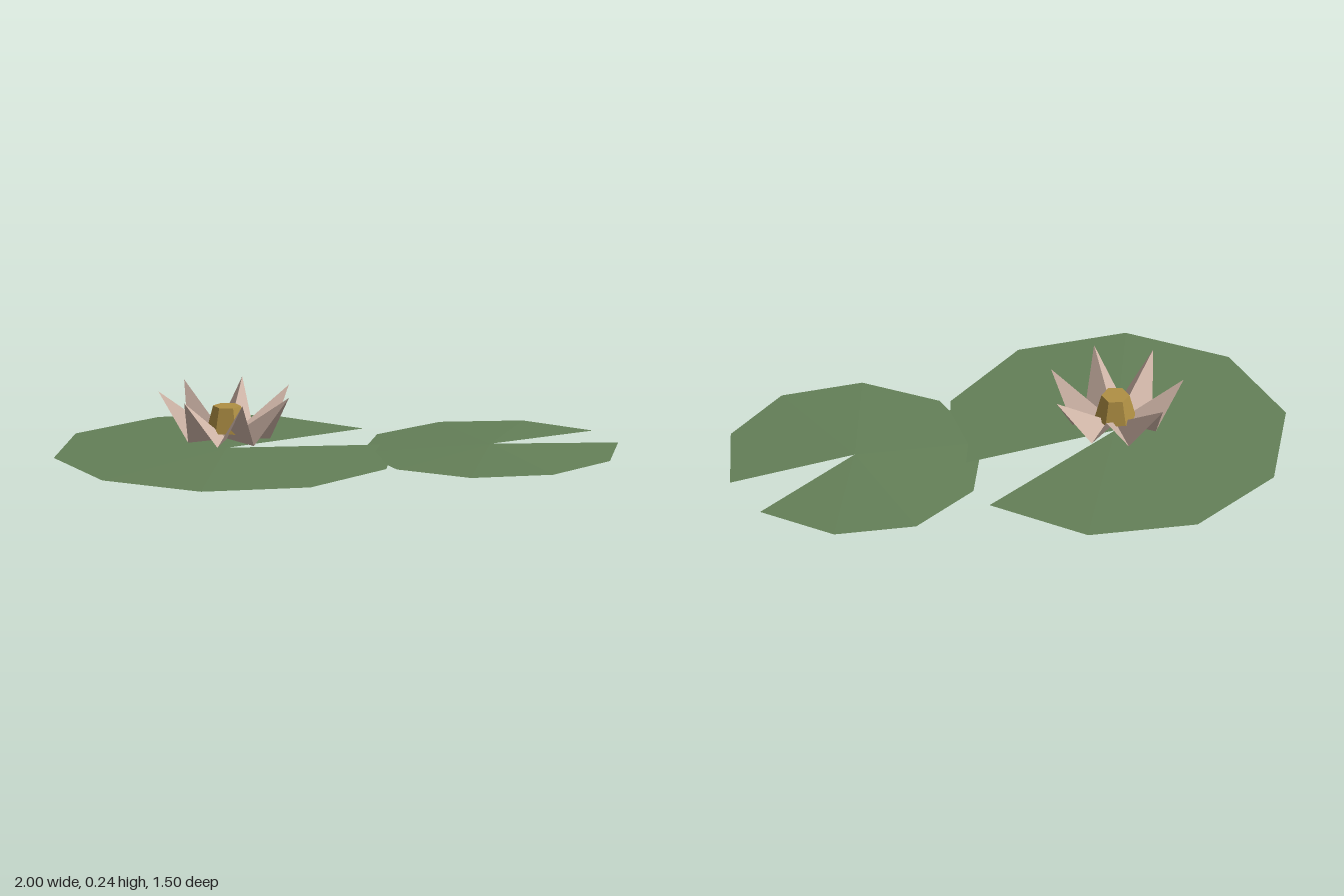
import * as THREE from 'three';

const leafGreen = new THREE.MeshStandardMaterial({ color: 0x648058, flatShading: true, side: THREE.DoubleSide });
leafGreen.name = 'leafGreen';
const petalPink = new THREE.MeshStandardMaterial({ color: 0xd0b6a8, flatShading: true, side: THREE.DoubleSide });
petalPink.name = 'petalPink';
const coreGold = new THREE.MeshStandardMaterial({ color: 0xb09044, flatShading: true });
coreGold.name = 'coreGold';

// Notched, slightly domed leaf; the notch points to +x
function makePad(name, radius, x, z) {
  const halfNotch = 0.225;
  const geo = new THREE.CircleGeometry(radius, 9, halfNotch, Math.PI * 2 - 2 * halfNotch);
  geo.rotateX(-Math.PI / 2);
  geo.attributes.position.setY(0, 0.02); // raised centre
  geo.computeVertexNormals();
  const pad = new THREE.Mesh(geo, leafGreen);
  pad.name = name;
  pad.position.set(x, 0, z);
  return pad;
}

// Petal folded along a ridge that runs from the flower centre up to the tip
function makePetalGeometry(count) {
  const a = Math.PI / count, r = 0.16;
  const centre = [0, 0, 0], tip = [0.255, 0.18, 0];
  const back = [r * Math.cos(a), 0, -r * Math.sin(a)];
  const front = [r * Math.cos(a), 0, r * Math.sin(a)];
  const geo = new THREE.BufferGeometry();
  geo.setAttribute('position', new THREE.Float32BufferAttribute(
    [centre, tip, back, centre, front, tip].flat(), 3));
  geo.computeVertexNormals();
  return geo;
}

function makeFlower() {
  const flower = new THREE.Group();
  flower.name = 'flower';
  const count = 7;
  const petalGeo = makePetalGeometry(count);
  for (let i = 0; i < count; i++) {
    const petal = new THREE.Mesh(petalGeo, petalPink);
    petal.name = 'petal' + (i + 1);
    petal.rotation.y = (i * Math.PI * 2) / count;
    flower.add(petal);
  }
  // Tapered six-sided heart of the flower
  const core = new THREE.Mesh(new THREE.CylinderGeometry(0.052, 0.076, 0.095, 6), coreGold);
  core.name = 'flowerCore';
  core.position.y = 0.0775;
  flower.add(core);
  return flower;
}

export function createModel() {
  const model = new THREE.Group();
  model.name = 'waterLily';
  model.add(makePad('largePad', 0.648, -0.385, -0.105));
  model.add(makePad('smallPad', 0.486, 0.525, 0.26));
  const flower = makeFlower();
  flower.position.set(-0.385, 0.055, -0.105);
  model.add(flower);
  return model;
}
